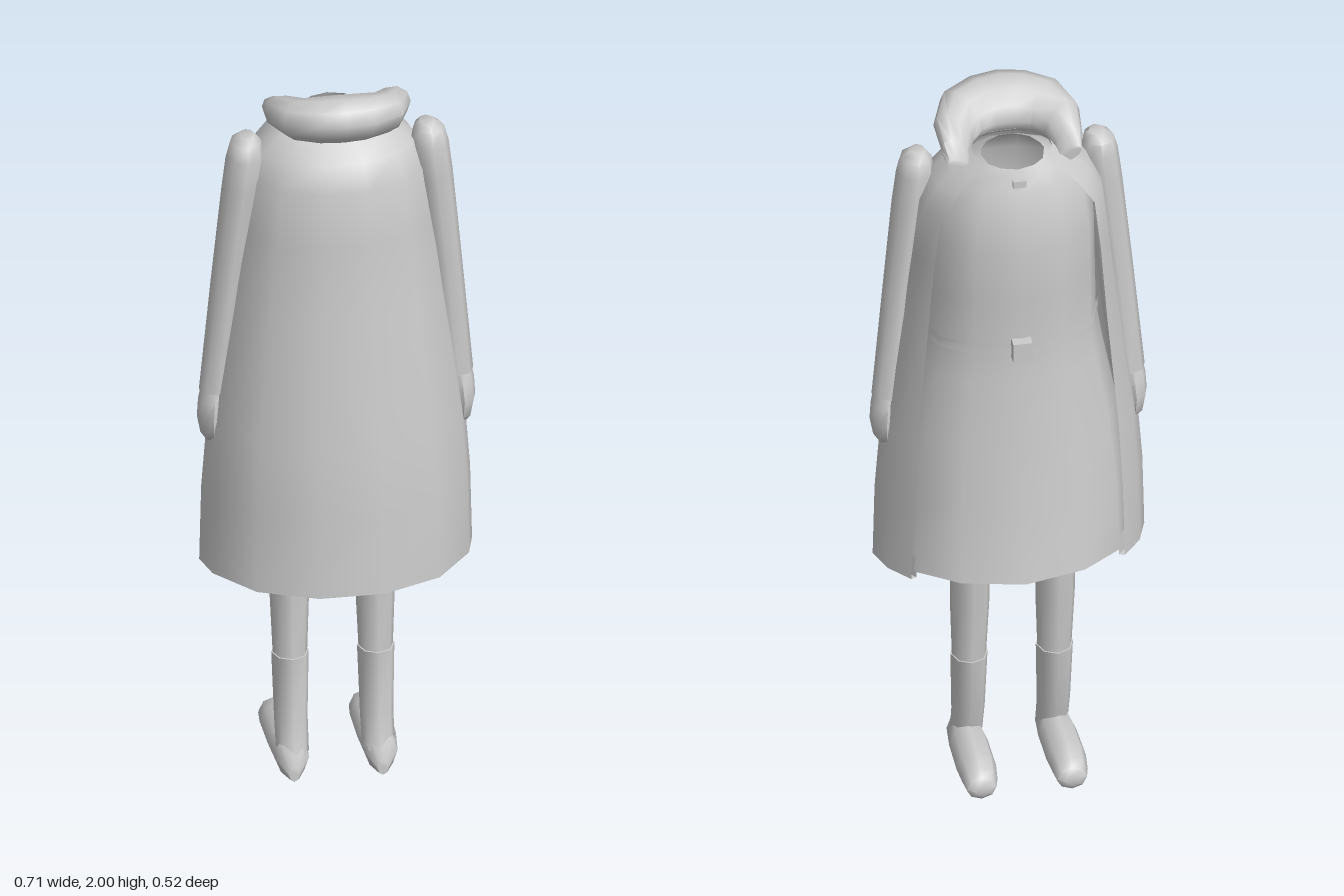
import * as THREE from 'three';
import { toCreasedNormals } from 'three/addons/utils/BufferGeometryUtils.js';

const grey = new THREE.MeshStandardMaterial({ color: 0xcccccc, side: THREE.DoubleSide });
grey.name = 'light grey';

// Skin a list of rings (each a list of [x, y, z]); optional closed ring and end caps
function loft(name, rings, { closed = true, caps = false } = {}) {
  const n = rings[0].length;
  const idx = [];
  const steps = closed ? n : n - 1;
  for (let r = 0; r < rings.length - 1; r++) {
    for (let i = 0; i < steps; i++) {
      const j = (i + 1) % n;
      const a = r * n + i, b = r * n + j, c = a + n, d = b + n;
      idx.push(a, c, b, b, c, d);
    }
  }
  if (caps) {
    const last = (rings.length - 1) * n;
    for (let i = 1; i < n - 1; i++) {
      idx.push(0, i, i + 1);
      idx.push(last, last + i + 1, last + i);
    }
  }
  const g = new THREE.BufferGeometry();
  g.setAttribute('position', new THREE.Float32BufferAttribute(rings.flat(2), 3));
  g.setIndex(idx);
  const mesh = new THREE.Mesh(toCreasedNormals(g, 0.95), grey);
  mesh.name = name;
  return mesh;
}

const circle = (n, fn) => Array.from({ length: n }, (_, i) => fn(Math.cos(i / n * Math.PI * 2), Math.sin(i / n * Math.PI * 2)));

// Limb from horizontal ellipses [x, y, z, rx, rz]
const limb = (name, rows) =>
  loft(name, rows.map(([x, y, z, rx, rz]) => circle(8, (c, s) => [x + c * rx, y, z - s * rz])), { caps: true });

// Mirror a half profile across x = 0
const mirrorRing = (half) => [...half, ...half.map(([x, y, z]) => [-x, y, z]).reverse()];

// Dress ring: half width, chest z, back z
function dressRing([y, w, zf, zb]) {
  const m = y > 1.85 ? -0.05 : 0; // side point shifts toward the neck opening
  return mirrorRing([
    [0, y, zf], [0.52 * w, y, m + (zf - m) * 0.85], [0.86 * w, y, m + (zf - m) * 0.55], [w, y, m],
    [0.92 * w, y, m + (zb - m) * 0.32], [0.67 * w, y, m + (zb - m) * 0.75], [0.24 * w, y, zb],
  ]).slice(0, -1);
}

// Open coat ring: half width, back z, front edge x and z
const coatRing = ([y, w, zb, xe, ze], s = 1, lift = 0) => mirrorRing([
  [xe, y, ze], [(xe + w) / 2 + 0.012, y, ze * 0.55], [w, y, 0], [0.94 * w, y, 0.31 * zb],
  [0.67 * w, y, 0.76 * zb], [0.24 * w, y, zb],
]).map(([px, py, pz]) => [px * s, py + lift, pz * s]);

export function createModel() {
  const model = new THREE.Group();

  model.add(loft('dress', [
    [0.66, 0.305, -0.235, 0.22], [0.85, 0.298, -0.21, 0.212], [1.05, 0.278, -0.19, 0.2],
    [1.25, 0.24, -0.175, 0.172], [1.35, 0.225, -0.17, 0.163], [1.5, 0.222, -0.182, 0.155],
    [1.65, 0.22, -0.185, 0.15], [1.76, 0.205, -0.175, 0.14], [1.82, 0.175, -0.157, 0.11],
    [1.865, 0.12, -0.14, 0.05], [1.885, 0.082, -0.133, 0.022],
  ].map(dressRing)));
  model.add(loft('belt', [[1.335, 0.231, -0.176, 0.166], [1.365, 0.229, -0.176, 0.166]].map(dressRing)));

  // Coat, open along the chest side, with a turned-in hem
  const coatRows = [
    [0.64, 0.35, 0.258, 0.275, -0.13], [0.85, 0.345, 0.247, 0.27, -0.13], [1.05, 0.33, 0.233, 0.26, -0.126],
    [1.4, 0.28, 0.183, 0.23, -0.12], [1.6, 0.255, 0.17, 0.215, -0.122], [1.75, 0.238, 0.16, 0.198, -0.127],
    [1.82, 0.205, 0.135, 0.155, -0.13], [1.865, 0.15, 0.09, 0.108, -0.12], [1.893, 0.1, 0.03, 0.08, -0.1],
  ];
  model.add(loft('coat', coatRows.map((row) => coatRing(row)), { closed: false }));
  const hem = coatRows[0];
  model.add(loft('coatHem', [coatRing(hem), coatRing(hem, 0.95), coatRing(hem, 0.95, 0.06)], { closed: false }));

  // Rolled collar: rings along a horseshoe [x, y, z, radial, vertical]
  const collarHalf = [
    [0.142, 1.875, -0.078, 0.032, 0.02], [0.145, 1.895, -0.045, 0.037, 0.038],
    [0.14, 1.918, 0.01, 0.052, 0.05], [0.106, 1.928, 0.07, 0.07, 0.058],
    [0.05, 1.934, 0.094, 0.077, 0.063],
  ];
  const collarRows = [...collarHalf, [0, 1.936, 0.1, 0.08, 0.064],
    ...collarHalf.map(([x, ...r]) => [-x, ...r]).reverse()];
  model.add(loft('rolledCollar', collarRows.map(([x, y, z, r, v]) => {
    const a = Math.atan2(z + 0.05, x);
    return circle(10, (c, s) => [x + Math.cos(a) * c * r, y + s * v + c * 0.015, z + Math.sin(a) * c * r]);
  }), { caps: true }));

  // Belt buckle and brooch
  for (const [name, size, y, z] of [
    ['buckle', [0.05, 0.055, 0.04], 1.357, -0.177], ['brooch', [0.034, 0.02, 0.012], 1.852, -0.149]]) {
    const box = new THREE.Mesh(new THREE.BoxGeometry(...size), grey);
    box.name = name;
    box.position.set(0, y, z);
    model.add(box);
  }

  for (const [side, s] of [['left', 1], ['right', -1]]) {
    const mirrored = (rows) => rows.map(([x, ...r]) => [x * s, ...r]);

    // Sleeve with rounded shoulder, and hand
    model.add(limb(side + 'Sleeve', mirrored([
      [0.23, 1.868, 0.02, 0.02, 0.028], [0.235, 1.85, 0.02, 0.04, 0.046], [0.237, 1.81, 0.022, 0.049, 0.056],
      [0.248, 1.72, 0.022, 0.049, 0.054], [0.278, 1.45, 0.013, 0.045, 0.045], [0.308, 1.135, 0.006, 0.044, 0.043],
    ])));
    model.add(limb(side + 'Hand', mirrored([
      [0.312, 1.16, 0.006, 0.032, 0.034], [0.318, 1.11, 0.006, 0.036, 0.047],
      [0.322, 1.06, 0.006, 0.035, 0.053], [0.32, 1.01, 0.004, 0.028, 0.042], [0.32, 0.995, 0.004, 0.018, 0.027],
    ])));

    // Leg and boot
    const x = 0.11 * s;
    model.add(limb(side + 'Leg', [
      [0.1 * s, 1.05, -0.062, 0.063, 0.07], [0.104 * s, 0.85, -0.06, 0.057, 0.066],
      [x, 0.64, -0.058, 0.051, 0.061], [x, 0.5, -0.053, 0.051, 0.056], [x, 0.32, -0.043, 0.044, 0.048],
    ]));
    model.add(limb(side + 'BootShaft', [
      [x, 0.33, -0.043, 0.048, 0.053], [x, 0.15, -0.03, 0.043, 0.047], [x, 0.06, -0.003, 0.042, 0.042],
    ]));
    model.add(loft(side + 'Shoe', [
      [0.05, 0.02, 0.014, 0.02], [0.02, 0.052, 0.042, 0.052], [-0.06, 0.058, 0.05, 0.052],
      [-0.17, 0.06, 0.051, 0.049], [-0.225, 0.056, 0.045, 0.043], [-0.25, 0.05, 0.038, 0.032],
      [-0.259, 0.048, 0.02, 0.016],
    ].map(([z, cy, rx, ry]) => circle(8, (c, q) =>
      [x + s * (0.004 - z * 0.01) + c * rx, Math.max(0, cy + q * ry), z])), { caps: true }));
  }
  return model;
}
